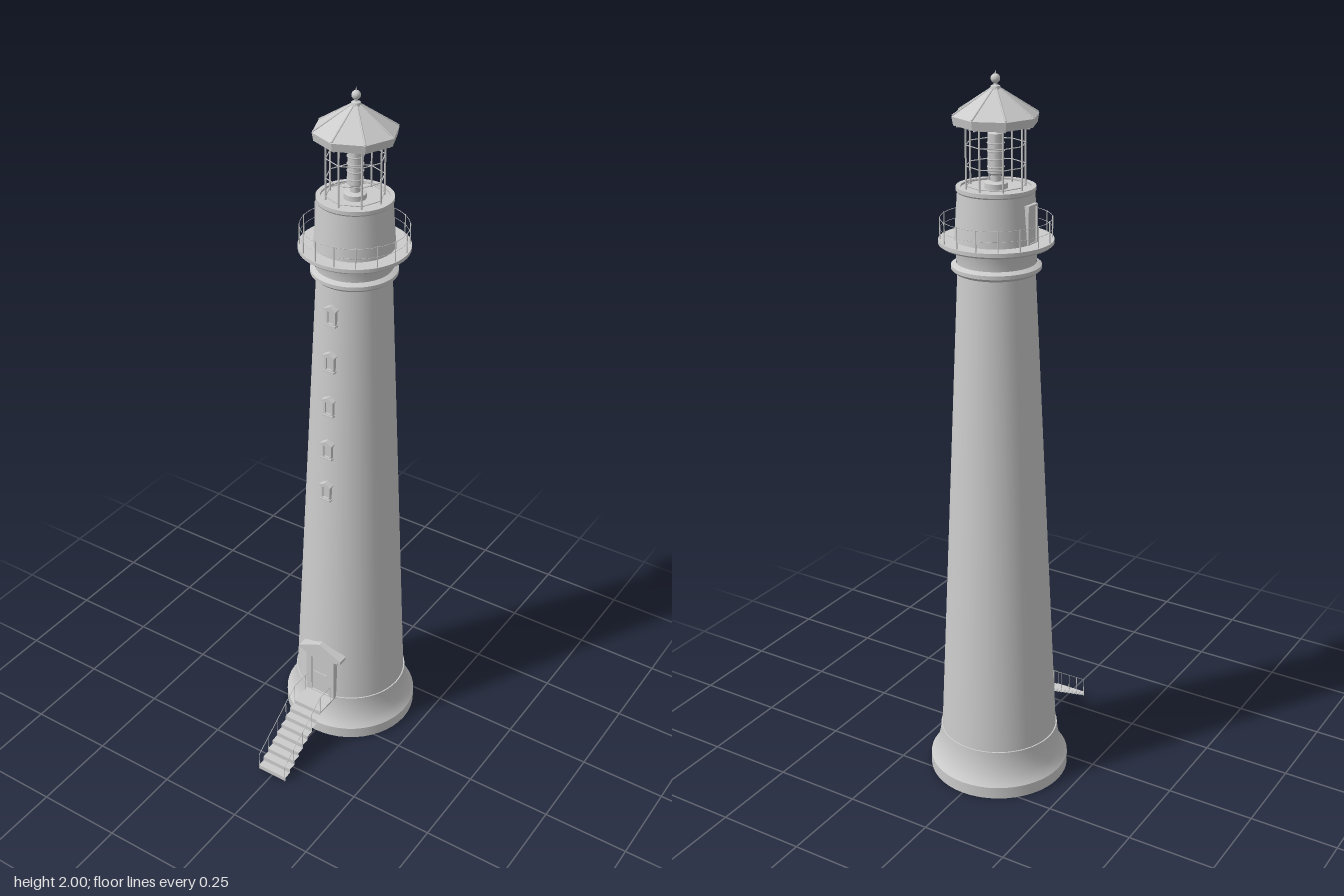
import * as THREE from 'three';
import { toCreasedNormals } from 'three/addons/utils/BufferGeometryUtils.js';

const CZ = -0.115; // tower axis
const mat = new THREE.MeshStandardMaterial({ color: 0xcccccc });
const flat = new THREE.MeshStandardMaterial({ color: 0xcccccc, flatShading: true });
const sheet = new THREE.MeshStandardMaterial({ color: 0xcccccc, flatShading: true, side: THREE.DoubleSide });

function add(parent, name, geo, x = 0, y = 0, z = 0, material = mat) {
  const m = new THREE.Mesh(geo, material);
  m.name = name;
  m.position.set(x, y, z);
  parent.add(m);
  return m;
}

const box = (parent, name, w, h, d, x, y, z) => add(parent, name, new THREE.BoxGeometry(w, h, d), x, y, z);

function lathe(parent, name, pts, segs = 48) {
  const g = new THREE.LatheGeometry(pts.map(p => new THREE.Vector2(p[0], p[1])), segs);
  return add(parent, name, toCreasedNormals(g, 0.5));
}

// Thin round bar between two points
function bar(parent, name, a, b, r = 0.0015) {
  const A = new THREE.Vector3(...a), B = new THREE.Vector3(...b);
  const m = add(parent, name, new THREE.CylinderGeometry(r, r, A.distanceTo(B), 6));
  m.position.copy(A).lerp(B, 0.5);
  m.quaternion.setFromUnitVectors(new THREE.Vector3(0, 1, 0), B.sub(A).normalize());
}

function ring(parent, name, radius, y, r, segs) {
  const m = add(parent, name, new THREE.TorusGeometry(radius, r, 5, segs), 0, y, 0);
  m.rotation.x = Math.PI / 2;
  m.rotation.z = Math.PI / 2;
}

// Triangular prism, centred in depth
function gable(parent, name, halfW, y0, h, d, z) {
  const s = new THREE.Shape();
  s.moveTo(-halfW, 0);
  s.lineTo(halfW, 0);
  s.lineTo(halfW, h * 0.2);
  s.lineTo(0, h);
  s.lineTo(-halfW, h * 0.2);
  s.closePath();
  add(parent, name, new THREE.ExtrudeGeometry(s, { depth: d, bevelEnabled: false }), 0, y0, z - d / 2, flat);
}

// Rectangular frame with an opening
function frame(parent, name, w, h, t, sill, d, y, z) {
  const s = new THREE.Shape();
  s.moveTo(-w / 2, 0); s.lineTo(w / 2, 0); s.lineTo(w / 2, h); s.lineTo(-w / 2, h); s.closePath();
  const o = new THREE.Path();
  o.moveTo(-w / 2 + t, sill); o.lineTo(-w / 2 + t, h - t); o.lineTo(w / 2 - t, h - t); o.lineTo(w / 2 - t, sill); o.closePath();
  s.holes.push(o);
  return add(parent, name, new THREE.ExtrudeGeometry(s, { depth: d, bevelEnabled: false }), 0, y, z, flat);
}

const wallRadius = y => 0.164 - 0.0465 * (y - 0.14);

function buildTower(g) {
  lathe(g, 'base', [[0, 0], [0.198, 0], [0.198, 0.035], [0.19, 0.045], [0.18, 0.065], [0.173, 0.09], [0.169, 0.115], [0.168, 0.132], [0.162, 0.132]]);
  lathe(g, 'shaft', [[wallRadius(0.13), 0.13], [wallRadius(1.5), 1.5]]);
  lathe(g, 'collar', [[0.1, 1.488], [0.108, 1.49], [0.117, 1.498], [0.117, 1.508], [0.108, 1.513], [0.104, 1.515]]);
  lathe(g, 'neck', [[0.103, 1.51], [0.105, 1.545], [0.112, 1.562]]);
  lathe(g, 'galleryDeck', [[0.1, 1.56], [0.143, 1.56], [0.149, 1.565], [0.149, 1.575], [0.1, 1.575]]);
  lathe(g, 'watchRoom', [[0.108, 1.575], [0.107, 1.59], [0.099, 1.698], [0.102, 1.702], [0.102, 1.712], [0.09, 1.712], [0.09, 1.706], [0, 1.706]]);
}

function buildGallery(g) {
  const n = 16, r = 0.144;
  for (let i = 0; i < n; i++) {
    const a = ((i + 0.5) / n) * Math.PI * 2, x = r * Math.sin(a), z = r * Math.cos(a);
    bar(g, 'galleryPost', [x, 1.575, z], [x, 1.632, z]);
  }
  ring(g, 'galleryRail', r, 1.63, 0.0008, 48);
  ring(g, 'galleryMidRail', r, 1.603, 0.0006, 48);
  // Door onto the gallery
  const door = new THREE.Group();
  door.name = 'galleryDoor';
  frame(door, 'galleryDoorFrame', 0.046, 0.1, 0.006, 0.003, 0.012, 1.576, 0.098);
  box(door, 'galleryDoorPanel', 0.036, 0.092, 0.008, 0, 1.623, 0.102);
  door.rotation.y = -Math.PI / 2;
  g.add(door);
}

function buildLantern(g) {
  const r = 0.077;
  for (let i = 0; i < 8; i++) {
    const a = (i * Math.PI) / 4, s = Math.sin(a), c = Math.cos(a);
    bar(g, 'lanternPost', [r * s, 1.706, r * c], [r * s, 1.872, r * c], 0.0025);
    bar(g, 'roofRib', [0.11 * s, 1.892, 0.11 * c], [0.008 * s, 1.957, 0.008 * c], 0.0025);
    bar(g, 'roofRafter', [0.1 * s, 1.865, 0.1 * c], [0.015 * s, 1.865, 0.015 * c], 0.0025);
  }
  for (const y of [1.715, 1.765, 1.818, 1.862]) ring(g, 'glazingBar', r, y, 0.0015, 8);
  // Lamp
  lathe(g, 'lamp', [[0.03, 1.706], [0.03, 1.72], [0.014, 1.724], [0.014, 1.74], [0.021, 1.745], [0.021, 1.845], [0.014, 1.85], [0.014, 1.87]], 16);
  for (const y of [1.76, 1.78, 1.8, 1.82]) ring(g, 'lensRing', 0.021, y, 0.002, 16);
  // Roof
  add(g, 'eave', new THREE.CylinderGeometry(0.112, 0.108, 0.022, 8), 0, 1.879, 0, flat);
  add(g, 'roof', new THREE.CylinderGeometry(0.008, 0.112, 0.068, 8), 0, 1.924, 0, flat);
  lathe(g, 'finialStem', [[0.014, 1.953], [0.012, 1.961], [0.005, 1.964], [0.005, 1.975]], 16);
  add(g, 'finialBall', new THREE.SphereGeometry(0.012, 20, 14), 0, 1.979, 0);
  add(g, 'finialTip', new THREE.ConeGeometry(0.003, 0.012, 8), 0, 1.994, 0);
}

function buildWindows(g) {
  for (const y of [0.865, 1.0, 1.137, 1.273, 1.41]) {
    const w = new THREE.Group(), z = CZ + wallRadius(y);
    w.name = 'window';
    frame(w, 'windowFrame', 0.03, 0.046, 0.006, 0.006, 0.016, y - 0.026, z - 0.006);
    box(w, 'windowPane', 0.02, 0.036, 0.004, 0, y - 0.003, z + 0.003);
    box(w, 'windowSill', 0.034, 0.005, 0.02, 0, y - 0.026, z + 0.003);
    gable(w, 'windowHood', 0.019, y + 0.019, 0.013, 0.022, z + 0.004);
    g.add(w);
  }
}

function buildEntrance(g) {
  frame(g, 'doorFrame', 0.098, 0.152, 0.018, 0.004, 0.03, 0.13, 0.025);
  box(g, 'door', 0.064, 0.135, 0.004, 0, 0.2, 0.048);
  box(g, 'doorRail', 0.05, 0.004, 0.003, 0, 0.205, 0.051);
  box(g, 'doorLintel', 0.124, 0.01, 0.03, 0, 0.28, 0.041);
  gable(g, 'doorPediment', 0.074, 0.283, 0.043, 0.03, 0.043);
}

function buildStairs(g) {
  // Folded sheet of treads and risers behind a flat landing
  const n = 8, z0 = 0.124, run = 0.0235, rise = 0.13 / (n + 1), hw = 0.048;
  box(g, 'landing', hw * 2, 0.005, z0 - 0.03, 0, 0.1285, (z0 + 0.03) / 2);
  for (let i = 0; i <= n; i++) {
    const top = 0.131 - i * rise, z = z0 + i * run;
    add(g, 'riser', new THREE.PlaneGeometry(hw * 2, rise), 0, top - rise / 2, z, sheet);
    if (i < n) {
      const t = add(g, 'tread', new THREE.PlaneGeometry(hw * 2, run), 0, top - rise, z + run / 2, sheet);
      t.rotation.x = -Math.PI / 2;
    }
  }
  // Handrails
  const zEnd = z0 + n * run, h = 0.058;
  for (const x of [-0.046, 0.046]) {
    for (const t of [0, 0.25, 0.5, 0.75, 1]) {
      const z = z0 + t * (zEnd - z0), y = 0.13 * (1 - t);
      bar(g, 'stairPost', [x, y, z], [x, y + h, z], 0.001);
    }
    bar(g, 'landingPost', [x, 0.13, 0.066], [x, 0.13 + h, 0.066], 0.001);
    bar(g, 'landingRail', [x, 0.13 + h, 0.05], [x, 0.13 + h, z0], 0.001);
    bar(g, 'stairRail', [x, 0.13 + h, z0], [x, h, zEnd], 0.001);
  }
}

export function createModel() {
  const model = new THREE.Group();
  model.name = 'lighthouse';
  const group = (name, build, z = 0) => {
    const g = new THREE.Group();
    g.name = name;
    g.position.z = z;
    build(g);
    model.add(g);
  };
  group('tower', buildTower, CZ);
  group('gallery', buildGallery, CZ);
  group('lantern', buildLantern, CZ);
  group('windows', buildWindows);
  group('entrance', buildEntrance);
  group('stairs', buildStairs);
  return model;
}
